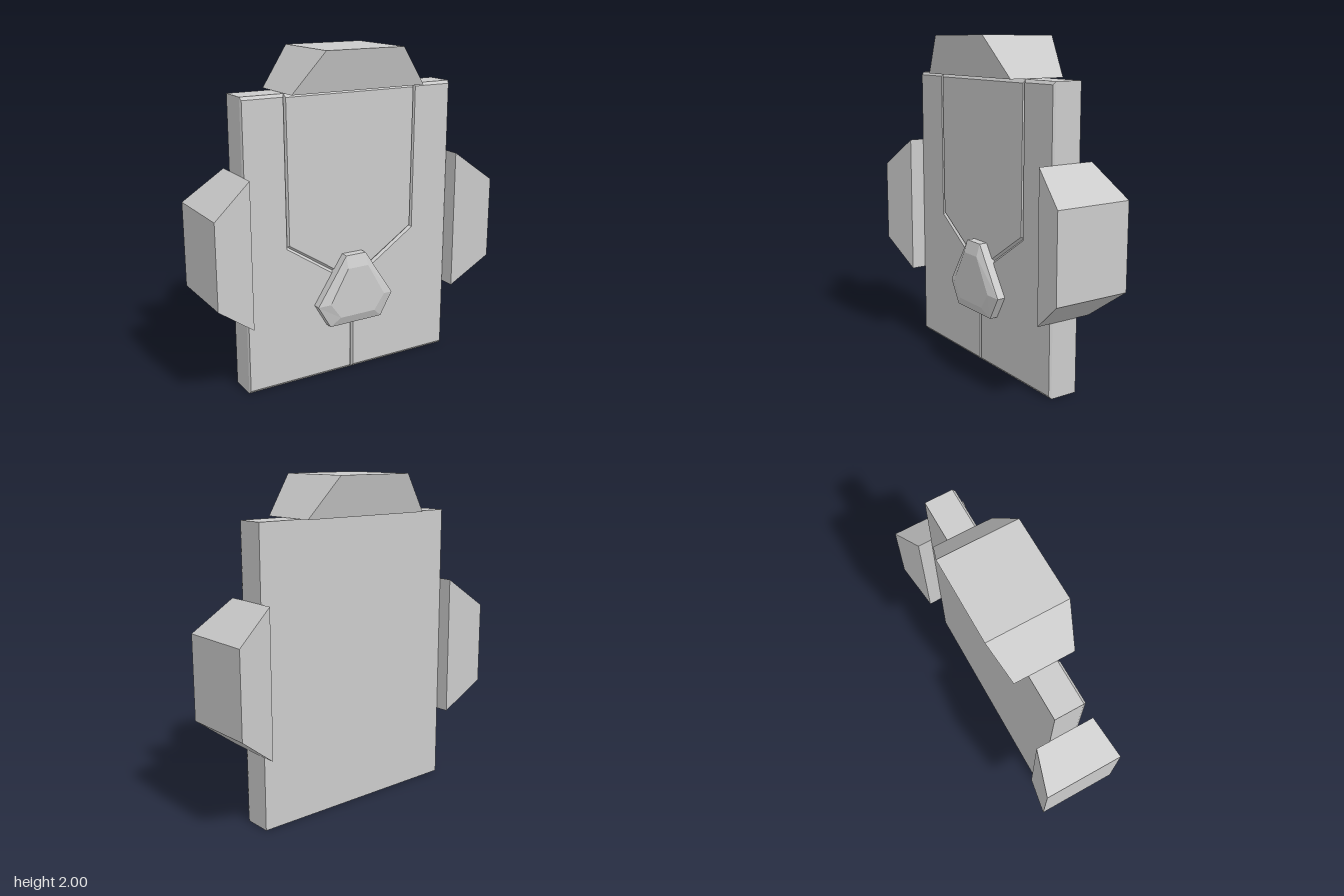
import * as THREE from 'three';

const material = new THREE.MeshStandardMaterial({ color: 0xcccccc, flatShading: true });

// Solid skinned over counter-clockwise xy loops, each at its own z, capped at both ends
function loft(name, layers) {
  const pos = [];
  const at = (layer, i) => {
    const p = layer.loop[i % layer.loop.length];
    return [p[0], p[1], layer.z];
  };
  for (let k = 0; k + 1 < layers.length; k++) {
    const a = layers[k], b = layers[k + 1];
    for (let i = 0; i < a.loop.length; i++) {
      pos.push(...at(a, i), ...at(a, i + 1), ...at(b, i + 1));
      pos.push(...at(a, i), ...at(b, i + 1), ...at(b, i));
    }
  }
  const cap = (layer, front) => {
    const pts = layer.loop.map(p => new THREE.Vector2(p[0], p[1]));
    for (const [i, j, k] of THREE.ShapeUtils.triangulateShape(pts, [])) {
      const order = front ? [i, j, k] : [i, k, j];
      order.forEach(n => pos.push(...at(layer, n)));
    }
  };
  cap(layers[0], false);
  cap(layers[layers.length - 1], true);
  const geometry = new THREE.BufferGeometry();
  geometry.setAttribute('position', new THREE.Float32BufferAttribute(pos, 3));
  geometry.computeVertexNormals();
  const mesh = new THREE.Mesh(geometry, material);
  mesh.name = name;
  return mesh;
}

const rect = (w, h) => [[-w, -h], [w, -h], [w, h], [-w, h]];
const mirror = loop => loop.map(([x, y]) => [-x, y]).reverse();
// Completes a right half, listed bottom to top, into a symmetric loop
const symmetric = half => [...half, ...mirror(half).filter(([x]) => x !== 0)];

export function createModel() {
  const group = new THREE.Group();
  const back = -0.095, groove = 0.075, front = 0.09;

  // Flat slab behind the front panels
  const slab = new THREE.Mesh(new THREE.BoxGeometry(1.404, 1.763, groove - back), material);
  slab.name = 'slab';
  slab.position.set(0, 1.763 / 2, (groove + back) / 2);
  group.add(slab);

  // Pointed centre panel with bevelled rim
  group.add(loft('centrePanel', [
    { z: groove - 0.01, loop: symmetric([[0, 0.585], [0.432, 0.87], [0.438, 1.763]]) },
    { z: groove, loop: symmetric([[0, 0.585], [0.432, 0.87], [0.438, 1.763]]) },
    { z: front, loop: symmetric([[0, 0.602], [0.422, 0.878], [0.43, 1.742]]) },
  ]));

  // Side panels meeting along the lower centre seam
  const outer = [[0, 0], [0.702, 0], [0.702, 1.763], [0.438, 1.763], [0.432, 0.87], [0, 0.585]];
  const inner = [[0.01, 0.018], [0.696, 0.018], [0.696, 1.745], [0.446, 1.745], [0.44, 0.86], [0.01, 0.574]];
  for (const [name, side] of [['leftPanel', l => l], ['rightPanel', mirror]]) {
    group.add(loft(name, [
      { z: groove - 0.01, loop: side(outer) },
      { z: groove, loop: side(outer) },
      { z: front, loop: side(inner) },
    ]));
  }

  // Faceted six-sided badge
  const badge = symmetric([[0.18, 0.333], [0.262, 0.475], [0.068, 0.77]]);
  const badgeFace = symmetric([[0.12, 0.39], [0.19, 0.487], [0.07, 0.695]]);
  group.add(loft('badge', [
    { z: groove, loop: badge },
    { z: 0.14, loop: badge },
    { z: 0.165, loop: badgeFace },
  ]));

  // Head block, flaring in depth as it narrows upwards
  const head = loft('headBlock', [
    { z: 0, loop: rect(0.44, 0.18) },
    { z: 0.235, loop: rect(0.255, 0.24) },
  ]);
  head.rotation.x = -Math.PI / 2;
  head.position.y = 1.765;
  group.add(head);

  // Matching blocks on both sides
  for (const s of [1, -1]) {
    const block = loft(s > 0 ? 'leftBlock' : 'rightBlock', [
      { z: 0, loop: rect(0.18, 0.438) },
      { z: 0.238, loop: rect(0.24, 0.255) },
    ]);
    block.rotation.y = s * Math.PI / 2;
    block.position.set(s * 0.703, 0.884, 0);
    group.add(block);
  }

  return group;
}
